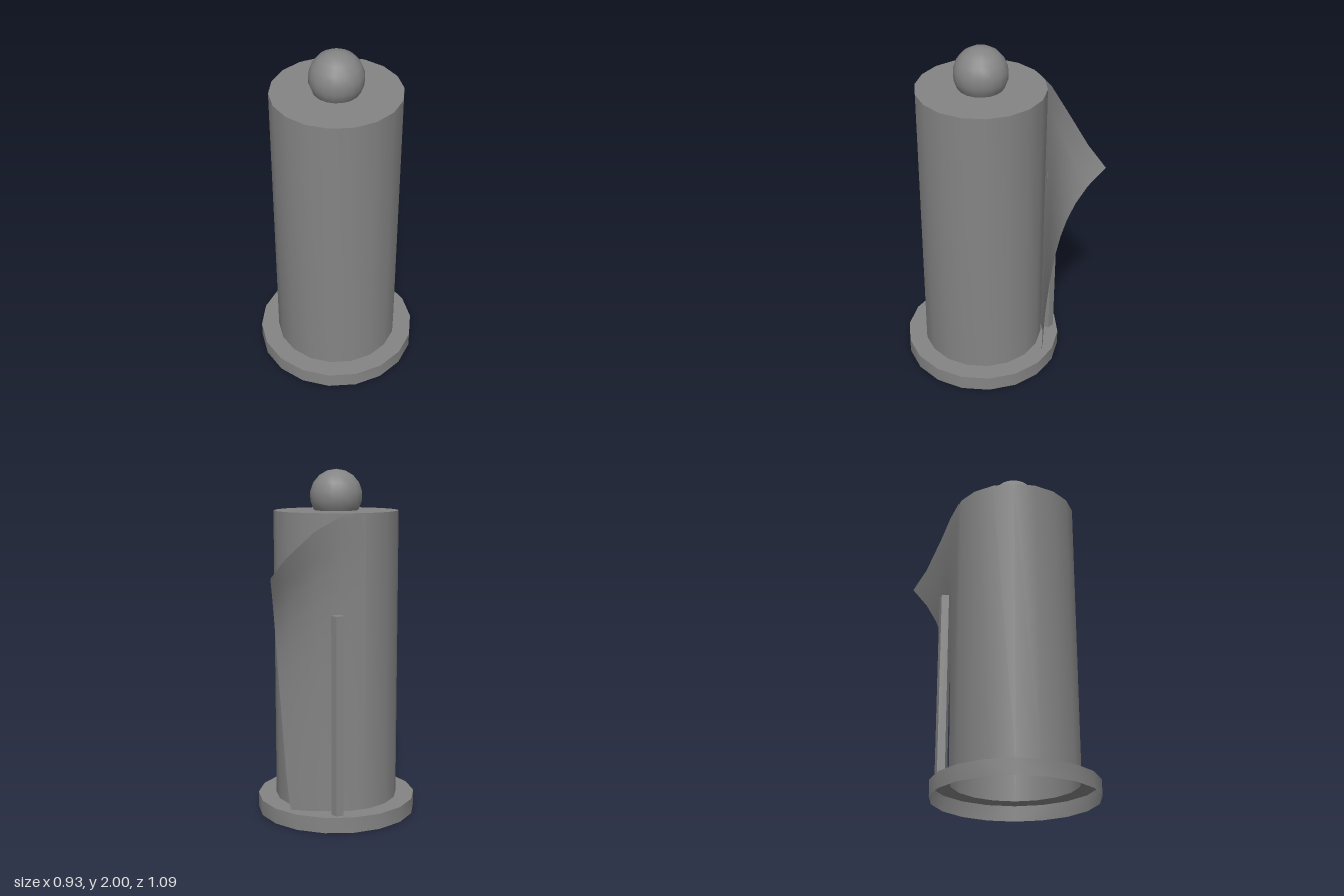
import * as THREE from 'three';
import { toCreasedNormals } from 'three/addons/utils/BufferGeometryUtils.js';

const SIDES = 18;
const AXIS_Z = 0.085; // the holder stands forward of centre to balance the loose sheet

const material = new THREE.MeshStandardMaterial({ color: 0x848484, side: THREE.DoubleSide });

function addPart(parent, name, geometry, x = 0, y = 0, z = 0) {
  const mesh = new THREE.Mesh(geometry, material);
  mesh.name = name;
  mesh.position.set(x, y, z);
  parent.add(mesh);
  return mesh;
}

// Turned shell with sharp rims and a smooth round wall
function turned(profile) {
  const points = profile.map(([r, y]) => new THREE.Vector2(r, y));
  return toCreasedNormals(new THREE.LatheGeometry(points, SIDES, Math.PI / 2), 0.7);
}

const curve = (points) => new THREE.CatmullRomCurve3(points.map((p) => new THREE.Vector3(...p)));

// Loose sheet: blends from a nearly flat bottom edge to a top edge that flares away
function sheetGeometry() {
  const bottom = curve([
    [-0.15, 0.095, -0.242], [-0.06, 0.095, -0.272], [0.07, 0.095, -0.28],
    [0.18, 0.095, -0.268], [0.27, 0.095, -0.248],
  ]);
  const top = curve([
    [-0.15, 1.765, -0.242], [-0.01, 1.75, -0.298], [0.125, 1.68, -0.36],
    [0.28, 1.545, -0.46], [0.36, 1.45, -0.545],
  ]);
  const geometry = new THREE.PlaneGeometry(1, 1, 4, 12);
  const pos = geometry.attributes.position;
  for (let i = 0; i < pos.count; i++) {
    const u = pos.getX(i) + 0.5;
    const v = pos.getY(i) + 0.5;
    const a = bottom.getPoint(u);
    const b = top.getPoint(u);
    const flare = 0.4 * v ** 1.7 + 0.6 * v ** 6;
    pos.setXYZ(
      i,
      THREE.MathUtils.lerp(a.x, b.x, v ** 0.75),
      THREE.MathUtils.lerp(a.y, b.y, v),
      THREE.MathUtils.lerp(a.z, b.z, flare),
    );
  }
  geometry.computeVertexNormals();
  return geometry;
}

export function createModel() {
  const model = new THREE.Group();
  model.name = 'paperTowelHolder';

  // Foot and roll are shells, open underneath
  addPart(model, 'base', turned([[0.465, 0], [0.465, 0.09], [0.358, 0.09]]), 0, 0, AXIS_Z);
  addPart(model, 'roll', turned([[0.358, 0.09], [0.358, 1.768], [0, 1.768]]), 0, 0, AXIS_Z);

  // Ball on top, sunk into the roll
  addPart(model, 'knob', new THREE.SphereGeometry(0.15, SIDES, 9), 0, 1.85, AXIS_Z);

  // Loose end of the paper
  addPart(model, 'looseSheet', sheetGeometry());

  // Five-sided tear post behind the roll
  const post = toCreasedNormals(new THREE.CylinderGeometry(0.036, 0.036, 1.13, 5), 0.5);
  addPart(model, 'tearPost', post, 0.005, 0.655, -0.318).rotation.y = Math.PI * 0.92;

  return model;
}
